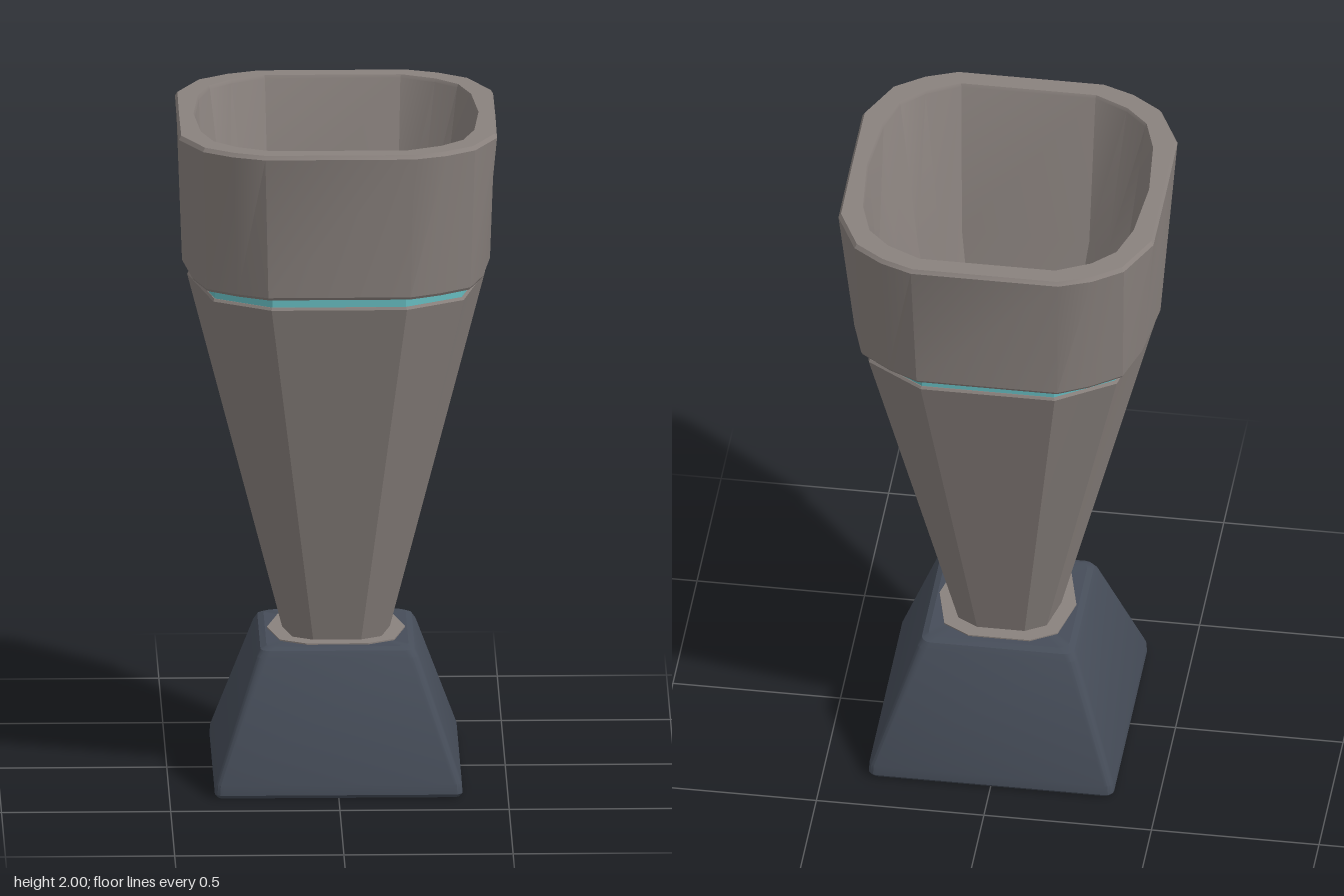
import * as THREE from 'three';
import { toCreasedNormals } from 'three/addons/utils/BufferGeometryUtils.js';

const material = (name, color) => {
  const m = new THREE.MeshStandardMaterial({ color });
  m.name = name;
  return m;
};

// Mirror a quarter outline (from +z round to +x) into a closed loop
function mirrorLoop(q) {
  const back = q.filter(p => p[1] !== 0).map(([x, z]) => [x, -z]).reverse();
  const half = [...q, ...back];
  const other = half.map(([x, z]) => [-x, z]).reverse();
  return [...half, ...other];
}

// Skin a stack of [y, quarter outline] sections, with optional end caps
function loft(sections, capStart, capEnd) {
  const rings = sections.map(([y, q]) => mirrorLoop(q).map(([x, z]) => [x, y, z]));
  const n = rings[0].length;
  const pos = [];
  const tri = (a, b, c) => pos.push(...a, ...b, ...c);
  for (let r = 0; r < rings.length - 1; r++) {
    for (let i = 0; i < n; i++) {
      const j = (i + 1) % n, lo = rings[r], hi = rings[r + 1];
      tri(lo[i], lo[j], hi[j]);
      tri(lo[i], hi[j], hi[i]);
    }
  }
  const cap = (ring, flip) => {
    const c = [0, ring[0][1], 0];
    for (let i = 0; i < n; i++) {
      const j = (i + 1) % n;
      if (flip) tri(c, ring[j], ring[i]);
      else tri(c, ring[i], ring[j]);
    }
  };
  if (capStart) cap(rings[0], true);
  if (capEnd) cap(rings[rings.length - 1], false);
  const g = new THREE.BufferGeometry();
  g.setAttribute('position', new THREE.Float32BufferAttribute(pos, 3));
  return toCreasedNormals(g, 0.38);
}

// Ten-sided quarter outline: front corner, diagonal corner, side point
function tenSided(a, b, c) {
  const mid = (p, q) => [(p[0] + q[0]) / 2, (p[1] + q[1]) / 2];
  return [a, mid(a, b), b, mid(b, c), c];
}

// Rounded square quarter outline
const square = (h, r) => [0, 1, 2, 3, 4].map(i => {
  const t = i * Math.PI / 8;
  return [h - r + r * Math.sin(t), h - r + r * Math.cos(t)];
});

const scaled = (q, s) => q.map(([x, z]) => [x * s, z * s]);

export function createModel() {
  const group = new THREE.Group();
  const stone = material('warm grey', 0x8a827e);
  const slate = material('dark slate', 0x464d59);
  const teal = material('teal', 0x66bcc0);
  const add = (name, geometry, mat) => {
    const mesh = new THREE.Mesh(geometry, mat);
    mesh.name = name;
    group.add(mesh);
  };

  const stemLow = tenSided([0.07, 0.148], [0.13, 0.112], [0.157, 0]);
  const stemHigh = tenSided([0.2, 0.424], [0.37, 0.315], [0.44, 0]);
  const bandLow = [[0.21, 0.44], [0.3, 0.395], [0.39, 0.33], [0.43, 0.2], [0.455, 0]];
  const rim = [[0.22, 0.489], [0.315, 0.452], [0.402, 0.39], [0.47, 0.25], [0.471, 0]];
  const mouth = [[0.2, 0.424], [0.3, 0.375], [0.365, 0.31], [0.4, 0.2], [0.417, 0]];
  const knee = tenSided([0.19, 0.365], [0.31, 0.285], [0.39, 0]);
  const floor = tenSided([0.05, 0.105], [0.095, 0.08], [0.115, 0]);

  // Tapered foot with softened edges
  add('foot', loft([
    [0, square(0.358, 0.02)],
    [0.01, square(0.366, 0.025)],
    [0.04, square(0.364, 0.025)],
    [0.395, square(0.24, 0.03)],
    [0.415, square(0.228, 0.03)],
    [0.424, square(0.21, 0.03)],
  ], true, true), slate);

  // Thin collar where the stem meets the foot
  const collar = scaled(stemLow, 1.3);
  add('collar', loft([[0.42, collar], [0.428, collar]], false, true), stone);

  // Flared lower cup wall
  add('stem', loft([
    [0.42, stemLow],
    [1.51, stemHigh],
    [1.518, scaled(stemHigh, 0.99)],
    [1.518, scaled(stemHigh, 0.95)],
  ]), stone);

  // Recessed coloured groove
  const groove = scaled(stemHigh, 0.985);
  add('groove', loft([[1.51, groove], [1.552, groove]]), teal);

  // Upper band, rim and hollow interior
  add('bowl', loft([
    [1.545, scaled(stemHigh, 0.94)],
    [1.545, scaled(bandLow, 0.99)],
    [1.553, bandLow],
    [1.988, rim],
    [2, scaled(rim, 0.985)],
    [2, scaled(mouth, 1.01)],
    [1.99, mouth],
    [1.5, knee],
    [0.45, floor],
  ], false, true), stone);

  return group;
}
